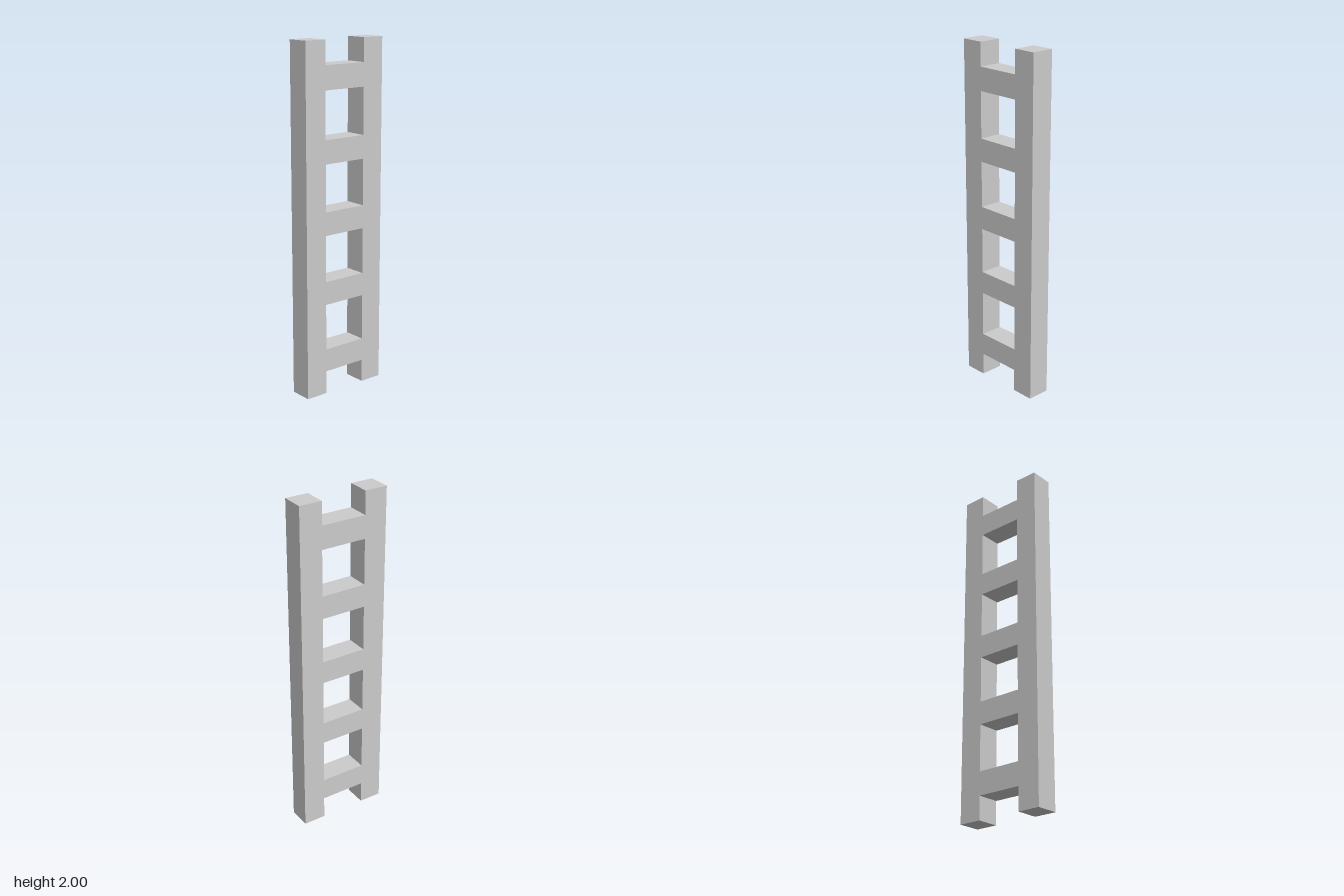
import * as THREE from 'three';

const HEIGHT = 2;
const BEAM = HEIGHT / 15;   // square section shared by rails and rungs
const RUNGS = 5;

export function createModel() {
  const ladder = new THREE.Group();
  ladder.name = 'ladder';
  const material = new THREE.MeshStandardMaterial({ color: 0xcccccc, flatShading: true });

  const addBeam = (name, height, depth, y, z) => {
    const mesh = new THREE.Mesh(new THREE.BoxGeometry(BEAM, height, depth), material);
    mesh.name = name;
    mesh.position.set(0, y, z);
    ladder.add(mesh);
  };

  // Upright rails, front and back
  addBeam('frontRail', HEIGHT, BEAM, HEIGHT / 2, BEAM * 1.5);
  addBeam('backRail', HEIGHT, BEAM, HEIGHT / 2, -BEAM * 1.5);

  // Evenly spaced rungs, flush with the rails
  const spacing = HEIGHT / RUNGS;
  for (let i = 0; i < RUNGS; i++) {
    addBeam(`rung${i + 1}`, BEAM, BEAM * 2, spacing * (i + 0.5), 0);
  }
  return ladder;
}
